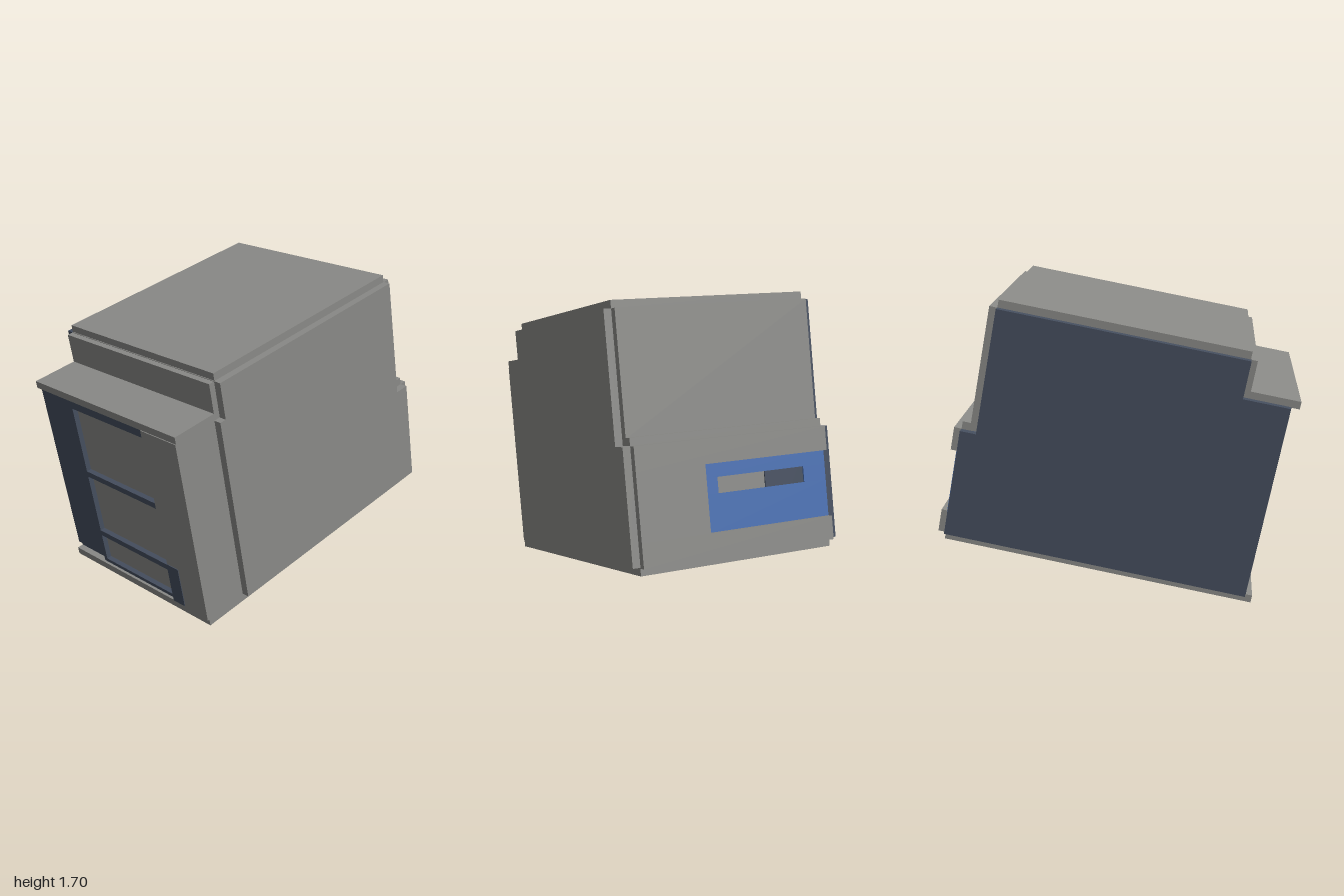
import * as THREE from 'three';

export function createModel() {
  const model = new THREE.Group();
  model.name = 'tiltedCabinet';

  const mat = (name, hex) => {
    const m = new THREE.MeshStandardMaterial({ color: hex });
    m.name = name;
    return m;
  };
  const grey = mat('panel grey', 0x8a8a87);
  const navy = mat('dark navy', 0x454e5e);
  const blue = mat('display blue', 0x4a70b2);

  // Everything is built upright from the lower left corner, then tilted as one
  const cabinet = new THREE.Group();
  cabinet.name = 'cabinet';
  cabinet.rotation.z = Math.atan2(0.33, 1.73);
  cabinet.position.x = -0.77;
  model.add(cabinet);

  const add = (name, geometry, material) => {
    const mesh = new THREE.Mesh(geometry, material);
    mesh.name = name;
    cabinet.add(mesh);
    return mesh;
  };
  const box = (name, material, x0, x1, y0, y1, z0, z1) =>
    add(name, new THREE.BoxGeometry(x1 - x0, y1 - y0, z1 - z0), material)
      .position.set((x0 + x1) / 2, (y0 + y1) / 2, (z0 + z1) / 2);
  const slab = (name, material, points, z0, z1) => {
    const shape = new THREE.Shape(points.map(([x, y]) => new THREE.Vector2(x, y)));
    const geometry = new THREE.ExtrudeGeometry(shape, { depth: z1 - z0, bevelEnabled: false });
    add(name, geometry, material).position.z = z0;
  };

  const zBack = -0.58, zFront = 0.576;

  // Stepped inner body
  slab('core', grey, [[0.045, 0.02], [1.673, 0.02], [1.673, 1.372], [0.3, 1.372],
    [0.3, 1.17], [0.045, 1.17]], zBack, 0.574);

  // Front and back plates
  const right = [[1.764, 0.045], [1.764, 0.663], [1.674, 0.663], [1.674, 1.37], [0.302, 1.37], [0.302, 1.16]];
  slab('frontPanel', grey, [[0.263, 0.045], ...right, [0.263, 1.16]], 0.574, 0.619);
  slab('backPanel', navy, [[0.043, 0.045], ...right, [0.043, 1.16]], -0.622, zBack);

  // Outer panels that leave a stepped groove along every edge
  box('bottomPanel', grey, 0, 1.762, 0, 0.043, zBack, zFront);
  box('topPanel', grey, 0.305, 1.673, 1.37, 1.413, zBack, zFront);
  box('upperRightPanel', grey, 1.673, 1.717, 0.7, 1.369, zBack, zFront);
  box('rightLedge', grey, 1.66, 1.763, 0.664, 0.707, zBack, zFront);
  box('upperLeftPanel', grey, 0.267, 0.302, 1.19, 1.369, zBack, zFront);
  box('leftLedge', grey, -0.007, 0.302, 1.157, 1.199, zBack, zFront);

  // Lower right panel, with a window open towards the back
  box('windowSill', grey, 1.762, 1.805, 0.04, 0.17, zBack, zFront);
  box('windowHead', grey, 1.762, 1.805, 0.532, 0.664, zBack, zFront);
  box('windowSidePanel', grey, 1.762, 1.805, 0.17, 0.532, 0.177, zFront);

  // Blue display plate with a slot
  const b0 = 1.764, b1 = 1.773;
  box('displayLower', blue, b0, b1, 0.16, 0.369, zBack, 0.18);
  box('displayUpper', blue, b0, b1, 0.456, 0.54, zBack, 0.18);
  box('displayFrontEnd', blue, b0, b1, 0.369, 0.456, 0.095, 0.18);
  box('displayBackEnd', blue, b0, b1, 0.369, 0.456, zBack, -0.44);
  box('slotShade', navy, 1.673, 1.68, 0.045, 0.66, zBack, -0.25);

  // Left side: post, dark service strip and framed covers
  box('leftPost', grey, -0.012, 0.27, 0.04, 1.158, 0.31, zFront);
  box('serviceStrip', navy, 0.037, 0.046, 0.043, 1.157, zBack, -0.335);
  for (const [z0, z1] of [[-0.335, -0.31], [0.285, 0.31]])
    box('coverFrameUpright', navy, 0.015, 0.046, 0.043, 1.157, z0, z1);
  for (const [y0, y1] of [[0.043, 0.065], [0.235, 0.27], [0.645, 0.68], [1.09, 1.157]])
    box('coverFrameBar', navy, 0.015, 0.046, y0, y1, -0.31, 0.285);
  box('postInset', navy, -0.016, -0.01, 0.06, 0.31, 0.31, 0.4);

  return model;
}
